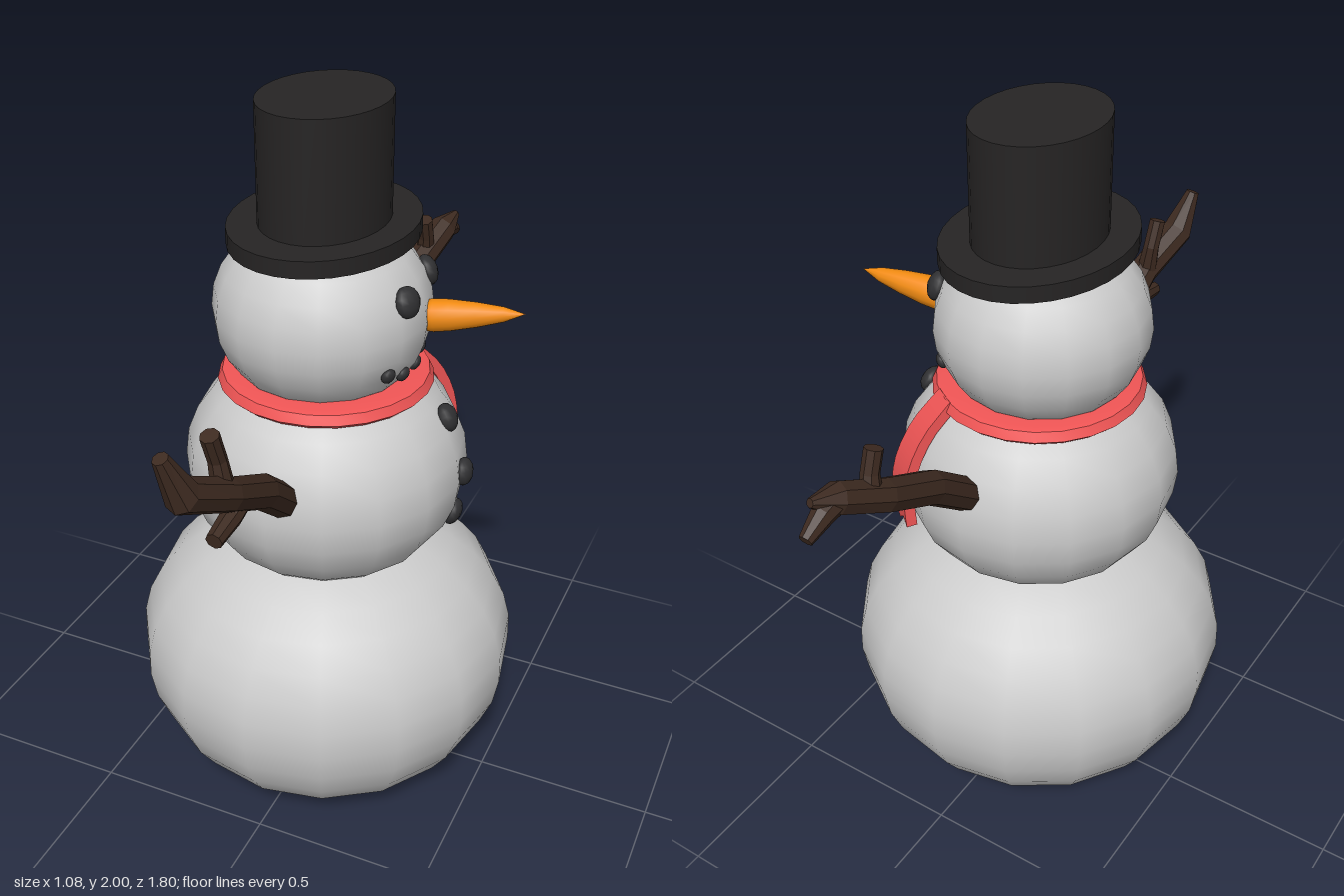
import * as THREE from 'three';
import { toCreasedNormals } from 'three/addons/utils/BufferGeometryUtils.js';

const CZ = 0.033; // z of the vertical axis of the body
const mat = (color, extra = {}) => new THREE.MeshStandardMaterial({ color, ...extra });
const snow = mat(0xcccccc);
const coal = mat(0x303032);
const felt = mat(0x262424);
const wood = mat(0x3d2a20, { flatShading: true });
const red = mat(0xf05555);
const orange = mat(0xf08a10);
const V = (x, y, z) => new THREE.Vector3(x, y, z);

// Body balls: centre height, radius, height above and below the centre
const BALLS = {
  base: { x: 0, y: 0.39, r: 0.543, up: 0.435, down: 0.47 },
  torso: { x: 0, y: 0.99, r: 0.388, up: 0.335, down: 0.335 },
  head: { x: -0.01, y: 1.44, r: 0.29, up: 0.26, down: 0.26 },
};

function ball({ x, y, r, up, down }, floor = -Infinity) {
  const low = Math.max(-Math.PI / 2, Math.asin(Math.max(-1, (floor - y) / down)));
  const pts = [];
  for (let i = 0; i <= 14; i++) {
    const a = low + (Math.PI / 2 - low) * i / 14;
    const s = Math.sin(a);
    pts.push(new THREE.Vector2(Math.max(0, r * Math.cos(a)), y + s * (s > 0 ? up : down)));
  }
  const mesh = new THREE.Mesh(new THREE.LatheGeometry(pts, 16), snow);
  mesh.position.set(x, 0, CZ);
  return mesh;
}

// Flattened lump of coal resting on the front of a ball
function lump(b, y, z, radius) {
  const k = (y - b.y) / b.up;
  const ring = b.r * Math.sqrt(1 - k * k);
  const mesh = new THREE.Mesh(new THREE.SphereGeometry(radius, 12, 8), coal);
  const x = Math.sqrt(ring * ring - (z - CZ) ** 2);
  mesh.position.set(b.x + x, y, z);
  mesh.scale.set(1, 1, 0.65);
  mesh.lookAt(b.x + 2 * x, y + (y - b.y), CZ + 2 * (z - CZ));
  return mesh;
}

// Eight-sided branch through points with a radius at each, closed at both ends
function branch(points, radii, sides = 8) {
  const pos = [], index = [];
  points.forEach((p, i) => {
    const prev = points[Math.max(0, i - 1)], next = points[Math.min(points.length - 1, i + 1)];
    const t = next.clone().sub(prev).normalize();
    const up = t.clone().cross(V(1, 0, 0)).normalize();
    const side = up.clone().cross(t);
    for (let j = 0; j < sides; j++) {
      const a = j / sides * Math.PI * 2;
      const q = p.clone().addScaledVector(side, Math.cos(a) * radii[i]).addScaledVector(up, Math.sin(a) * radii[i]);
      pos.push(q.x, q.y, q.z);
    }
  });
  const last = (points.length - 1) * sides, c0 = points.length * sides;
  pos.push(...points[0].toArray(), ...points[points.length - 1].toArray());
  for (let j = 0; j < sides; j++) {
    const k = (j + 1) % sides;
    for (let o = 0; o < last; o += sides) {
      index.push(o + j, o + k, o + sides + k, o + j, o + sides + k, o + sides + j);
    }
    index.push(c0, k, j, c0 + 1, last + j, last + k);
  }
  const g = new THREE.BufferGeometry();
  g.setAttribute('position', new THREE.Float32BufferAttribute(pos, 3));
  g.setIndex(index);
  g.computeVertexNormals();
  return new THREE.Mesh(g, wood);
}

function arm(limbs) {
  const g = new THREE.Group();
  limbs.forEach(([points, radii], i) => {
    const m = branch(points, radii);
    m.name = i ? 'twig' : 'armBranch';
    g.add(m);
  });
  return g;
}

// Scarf end: a thick ribbon bent down over the torso, with a ragged hem
function scarfTail() {
  const curve = new THREE.CatmullRomCurve3([
    V(0, 0.915, 0.402), V(0, 0.99, 0.404), V(0, 1.08, 0.39), V(0, 1.18, 0.34), V(0, 1.262, 0.262)]);
  const g = new THREE.BoxGeometry(0.1, 1, 0.03, 4, 10, 1);
  const p = g.attributes.position;
  for (let i = 0; i < p.count; i++) {
    const t = p.getY(i) + 0.5, x = p.getX(i), z = p.getZ(i);
    const c = curve.getPoint(t), d = curve.getTangent(t);
    const hem = t < 0.01 && Math.round(x / 0.025) % 2 ? 0.02 : 0;
    p.setXYZ(i, x * (1.05 - 0.3 * t), c.y - d.z * z + hem, c.z + d.y * z);
  }
  const mesh = new THREE.Mesh(toCreasedNormals(g, 0.7), red);
  mesh.position.z = CZ;
  mesh.rotation.y = Math.atan2(0.54, -0.84);
  return mesh;
}

export function createModel() {
  const model = new THREE.Group();
  const add = (name, mesh) => { mesh.name = name; model.add(mesh); return mesh; };

  // Snow balls, the lowest one cut flat at the ground
  add('baseBall', ball(BALLS.base, 0));
  add('torsoBall', ball(BALLS.torso));
  add('headBall', ball(BALLS.head));
  const { r, y, down } = BALLS.base;
  const bottom = add('baseUnderside', new THREE.Mesh(
    new THREE.CircleGeometry(r * Math.sqrt(1 - (y / down) ** 2), 16), snow));
  bottom.rotation.x = Math.PI / 2;
  bottom.position.z = CZ;

  // Oval top hat
  const hat = add('hat', new THREE.Group());
  for (const [name, radius, y0, y1] of [['hatBrim', 0.237, 1.645, 1.69], ['hatCrown', 0.163, 1.685, 2]]) {
    const m = new THREE.Mesh(new THREE.CylinderGeometry(radius, radius, y1 - y0, 32), felt);
    m.name = name;
    m.position.set(-0.002, (y0 + y1) / 2, CZ);
    m.scale.z = 1.255;
    hat.add(m);
  }

  // Eyes, mouth and buttons
  for (const z of [0.105, -0.1]) add('eye', lump(BALLS.head, 1.53, z, 0.041));
  for (const [z, h] of [[0.16, 1.345], [0.09, 1.32], [0, 1.31], [-0.075, 1.32], [-0.155, 1.345]]) {
    add('mouthCoal', lump(BALLS.head, h, z, 0.021));
  }
  for (const h of [1.16, 1.005, 0.87]) add('button', lump(BALLS.torso, h, -0.013, 0.039));

  // Carrot nose
  const from = V(0.24, 1.442, -0.01), to = V(0.508, 1.476, -0.06);
  const axis = to.clone().sub(from), len = axis.length();
  const carrot = [[0, 0], [0.038, 0], [0.044, 0.15], [0.042, 0.3], [0.033, 0.55], [0.02, 0.8], [0, 1]]
    .map(([a, b]) => new THREE.Vector2(a, b * len));
  const nose = add('nose', new THREE.Mesh(new THREE.LatheGeometry(carrot, 12), orange));
  nose.position.copy(from);
  nose.quaternion.setFromUnitVectors(V(0, 1, 0), axis.normalize());

  // Scarf
  const band = [[0.19, 1.225], [0.275, 1.232], [0.289, 1.245], [0.277, 1.27], [0.262, 1.274], [0.19, 1.274]]
    .map(([a, b]) => new THREE.Vector2(a, b));
  add('scarfBand', new THREE.Mesh(toCreasedNormals(new THREE.LatheGeometry(band, 24), 0.6), red)).position.z = CZ;
  add('scarfTail', scarfTail());

  // Branch arms with twigs
  add('rightArm', arm([
    [[V(0.035, 1.045, 0.37), V(0.045, 1.16, 0.51), V(0.05, 1.26, 0.69), V(0.02, 1.34, 0.84), V(0, 1.455, 0.885)],
      [0.046, 0.046, 0.043, 0.046, 0.02]],
    [[V(0.04, 1.27, 0.69), V(0.028, 1.35, 0.69), V(0.025, 1.425, 0.715)], [0.03, 0.024, 0.024]],
    [[V(0.045, 1.22, 0.58), V(0.045, 1.185, 0.67), V(0.045, 1.17, 0.755)], [0.032, 0.028, 0.022]],
  ]));
  add('leftArm', arm([
    [[V(0, 1.09, -0.32), V(0, 1.205, -0.465), V(0, 1.295, -0.64), V(0.03, 1.36, -0.77), V(0.045, 1.385, -0.84)],
      [0.046, 0.046, 0.044, 0.042, 0.012]],
    [[V(0.005, 1.31, -0.68), V(0.015, 1.37, -0.665), V(0.015, 1.43, -0.645)], [0.03, 0.024, 0.024]],
    [[V(0.03, 1.36, -0.76), V(0.03, 1.345, -0.82), V(0.028, 1.315, -0.885)], [0.035, 0.03, 0.018]],
  ]));
  return model;
}
